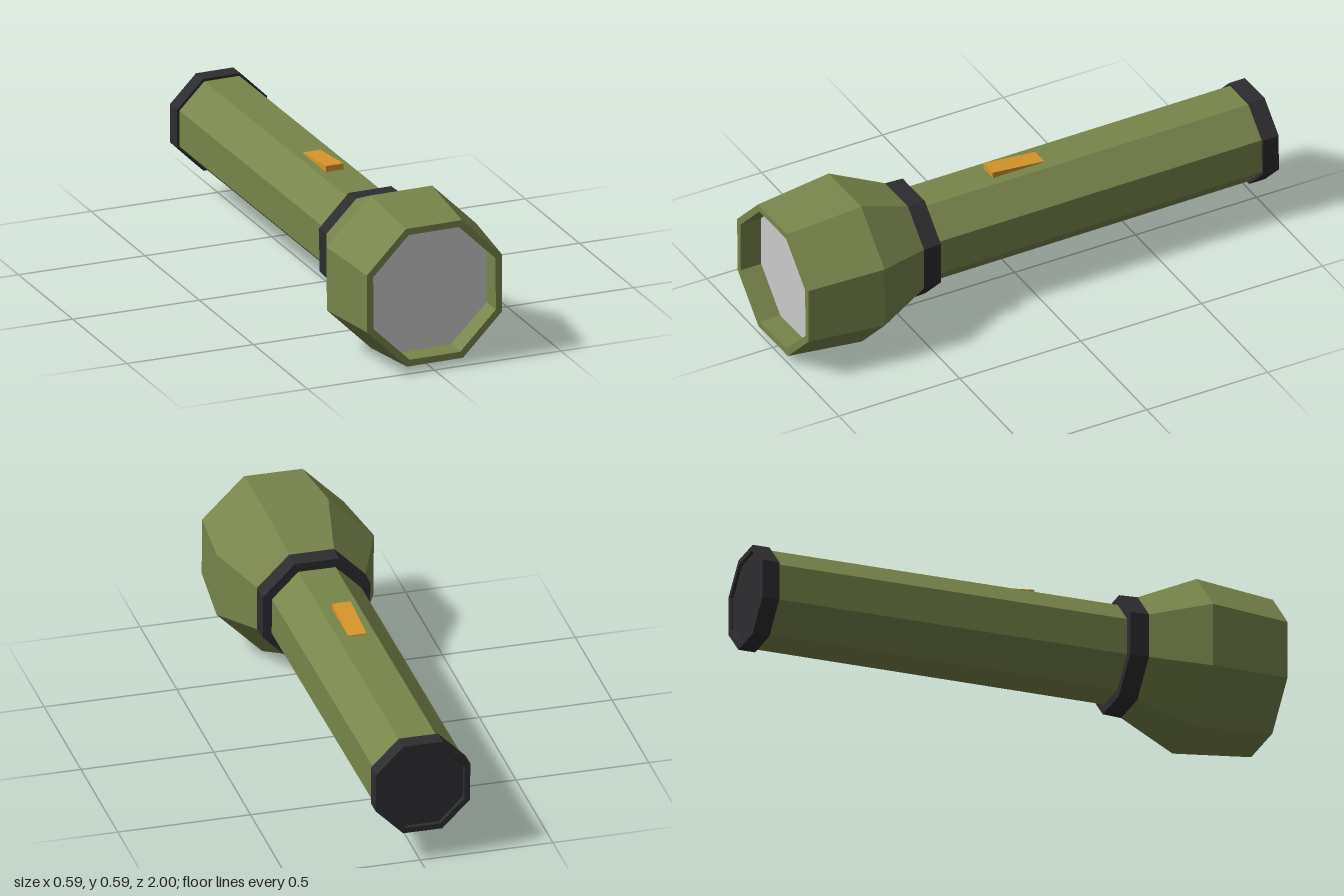
import * as THREE from 'three';

const mat = (name, color) => {
  const m = new THREE.MeshStandardMaterial({ color, flatShading: true });
  m.name = name;
  return m;
};

export function createModel() {
  const olive = mat('olive', 0x78854b);
  const black = mat('black', 0x2d2d30);
  const orange = mat('orange', 0xd8962a);
  const glass = mat('paleGrey', 0xcacaca);

  const torch = new THREE.Group();
  torch.name = 'flashlight';

  const add = (name, geometry, material) => {
    const mesh = new THREE.Mesh(geometry, material);
    mesh.name = name;
    torch.add(mesh);
    return mesh;
  };

  // Octagonal part along z; profile is [half width across flats, z], from back to front
  const octagon = (name, profile, material) => {
    const points = profile.map(([r, z]) => new THREE.Vector2(r / Math.cos(Math.PI / 8), z));
    const geometry = new THREE.LatheGeometry(points, 8, Math.PI / 8);
    geometry.rotateX(Math.PI / 2);
    const flat = geometry.toNonIndexed();
    flat.computeVertexNormals();
    return add(name, flat, material);
  };

  // Head with a flared bell, flat rim and recessed inner wall
  octagon('head', [[0.202, 0.48], [0.296, 0.7], [0.267, 1], [0.242, 1], [0.242, 0.91]], olive);
  octagon('lens', [[0.242, 0.915], [0, 0.915]], glass);

  // Collar, handle and tail cap
  octagon('collar', [[0.16, 0.415], [0.202, 0.415], [0.205, 0.492], [0.16, 0.492]], black);
  octagon('handle', [[0.168, -0.95], [0.169, 0.43]], olive);
  octagon('tailCap',
    [[0, -0.99], [0.153, -0.99], [0.157, -1], [0.178, -1], [0.178, -0.935], [0.15, -0.935]], black);

  // Wedge-shaped switch, sloping down towards the tail
  const wedge = new THREE.BoxGeometry(0.07, 0.04, 0.215);
  const p = wedge.attributes.position;
  for (let i = 0; i < p.count; i++) {
    if (p.getY(i) > 0 && p.getZ(i) < 0) p.setY(i, -0.001);
  }
  wedge.computeVertexNormals();
  add('switch', wedge, orange).position.set(-0.004, 0.172, -0.003);

  // Small lean of the whole body
  torch.rotation.set(0, 0.006, 0.007);
  torch.position.set(-0.005, 0.299, 0);

  const model = new THREE.Group();
  model.name = 'model';
  model.add(torch);
  return model;
}
